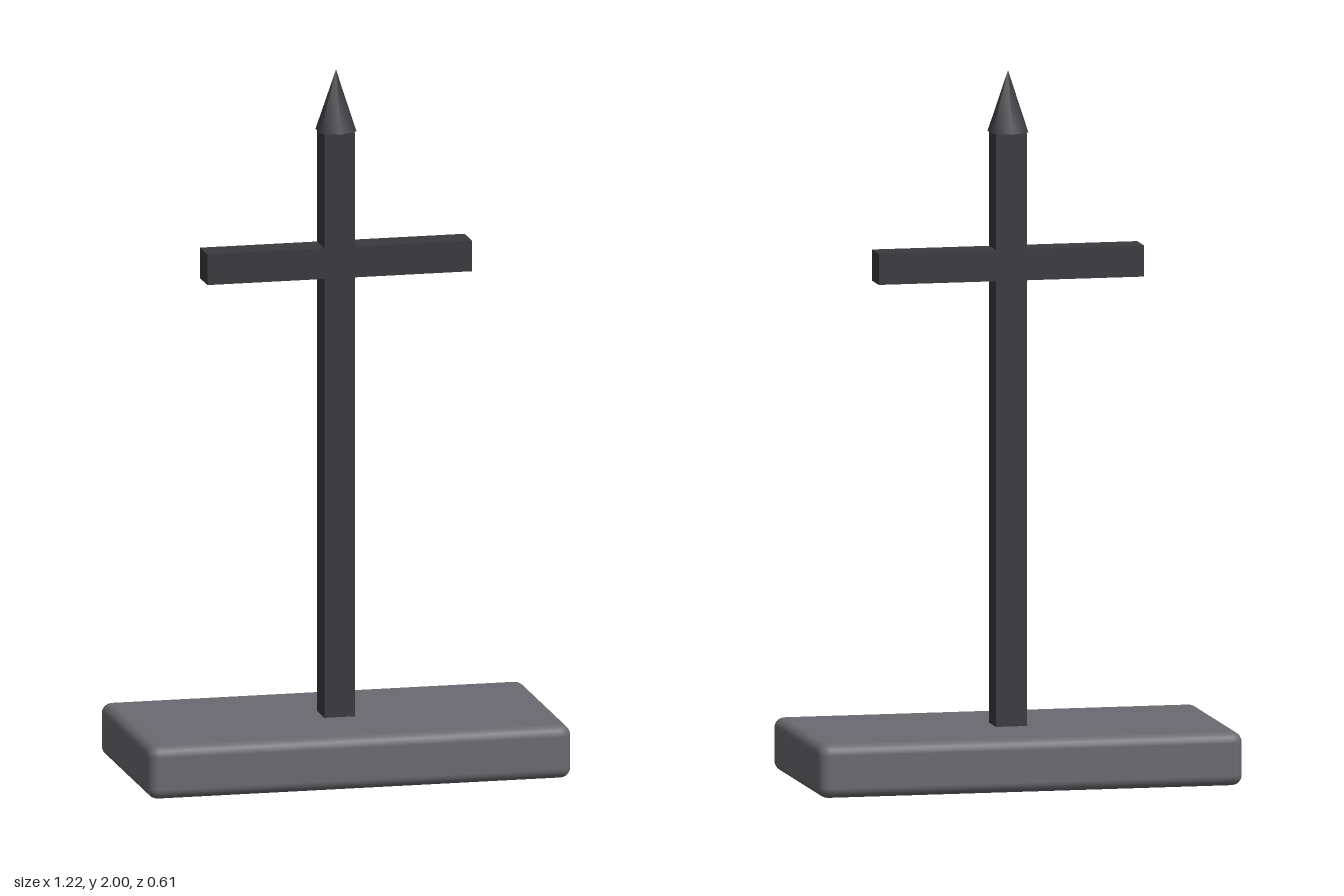
import * as THREE from 'three';
import { RoundedBoxGeometry } from 'three/addons/geometries/RoundedBoxGeometry.js';

export function createModel() {
  const group = new THREE.Group();
  const stone = new THREE.MeshStandardMaterial({ color: 0x6b6a70 });
  const iron = new THREE.MeshStandardMaterial({ color: 0x3a3a3f });

  const add = (name, geometry, material, y) => {
    const mesh = new THREE.Mesh(geometry, material);
    mesh.name = name;
    mesh.position.y = y;
    group.add(mesh);
  };

  const baseHeight = 0.152, postTop = 1.826, thickness = 0.088;

  // Stone slab with softened edges
  add('base', new RoundedBoxGeometry(1.216, baseHeight, 0.606, 3, 0.03), stone, baseHeight / 2);

  // Square post, sunk slightly into the slab
  const postBottom = baseHeight - 0.01;
  add('post', new THREE.BoxGeometry(thickness, postTop - postBottom, thickness), iron, (postTop + postBottom) / 2);

  // Crossbar
  add('crossbar', new THREE.BoxGeometry(0.76, thickness, thickness), iron, 1.455);

  // Six-sided spike, corners towards front and back
  add('spike', new THREE.ConeGeometry(0.06, 2 - postTop, 6), iron, (2 + postTop) / 2);

  return group;
}
